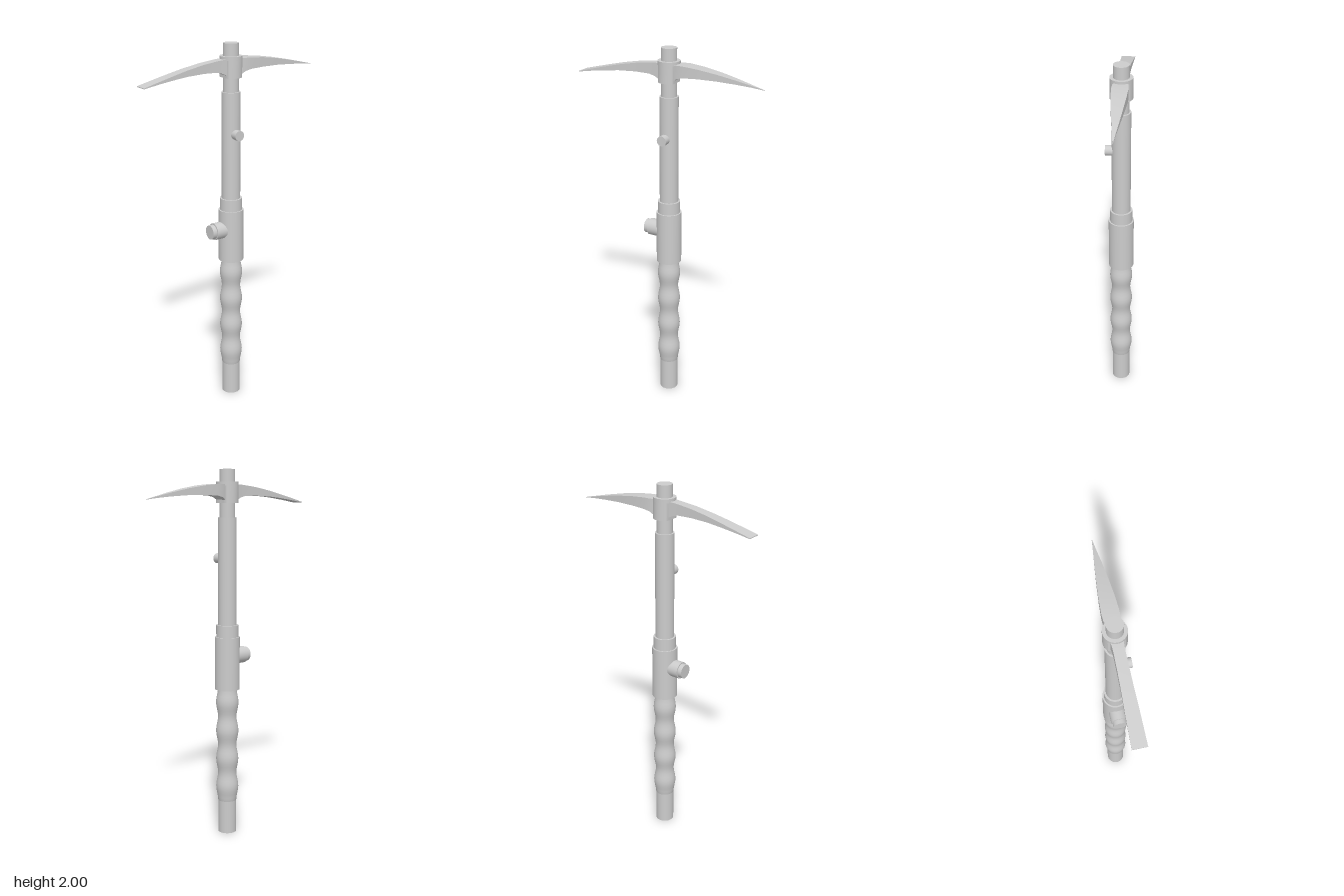
import * as THREE from 'three';
import { toCreasedNormals } from 'three/addons/utils/BufferGeometryUtils.js';

const SEG = 32;
const material = new THREE.MeshStandardMaterial({ color: 0xcccccc });

function add(parent, name, geometry) {
  const mesh = new THREE.Mesh(geometry, material);
  mesh.name = name;
  parent.add(mesh);
  return mesh;
}

// Upright cylinder between two heights
function post(parent, name, r, y0, y1) {
  const mesh = add(parent, name, new THREE.CylinderGeometry(r, r, y1 - y0, SEG));
  mesh.position.y = (y0 + y1) / 2;
  return mesh;
}

// Lofts rectangular sections [x, bottom, top, halfWidth] listed from -x to +x
function blade(sections) {
  const pos = [], idx = [];
  for (const [x, b, t, w] of sections) pos.push(x, b, -w, x, b, w, x, t, w, x, t, -w);
  const quad = (a, b, c, d) => idx.push(a, b, c, a, c, d);
  for (let i = 0; i < sections.length - 1; i++) {
    for (let k = 0; k < 4; k++) {
      const a = i * 4 + k, b = i * 4 + (k + 1) % 4;
      quad(a, a + 4, b + 4, b);
    }
  }
  const n = (sections.length - 1) * 4;
  quad(0, 1, 2, 3);
  quad(n + 3, n + 2, n + 1, n);
  const g = new THREE.BufferGeometry();
  g.setAttribute('position', new THREE.Float32BufferAttribute(pos, 3));
  g.setIndex(idx);
  return toCreasedNormals(g, 0.5);
}

export function createModel() {
  const model = new THREE.Group();
  model.name = 'pickaxe';
  const tool = new THREE.Group();
  tool.name = 'tool';
  tool.position.z = -0.008;
  model.add(tool);

  // Shaft, from the butt to the tip
  post(tool, 'handleEnd', 0.05, 0, 0.2);
  post(tool, 'sleeve', 0.068, 0.82, 1.11);
  post(tool, 'sleeveCollar', 0.06, 1.11, 1.175);
  post(tool, 'upperShaft', 0.05, 1.175, 1.75);
  post(tool, 'shaftTip', 0.041, 1.75, 2);

  // Wavy hand grip with four swells
  const profile = [new THREE.Vector2(0.048, 0.185)];
  for (let i = 0; i <= 32; i++) {
    const y = 0.185 + (i / 32) * 0.64;
    profile.push(new THREE.Vector2(0.0565 - 0.0055 * Math.cos((i / 8) * Math.PI * 2), y));
  }
  add(tool, 'grip', new THREE.LatheGeometry(profile, SEG));

  // Head socket: round, with flats on the blade sides below a top flange
  const socket = new THREE.CylinderGeometry(0.059, 0.059, 0.11, SEG);
  const p = socket.attributes.position;
  for (let i = 0; i < p.count; i++) p.setX(i, THREE.MathUtils.clamp(p.getX(i), -0.045, 0.045));
  add(tool, 'headSocket', toCreasedNormals(socket, 0.5)).position.y = 1.88;
  post(tool, 'socketFlange', 0.059, 1.915, 1.935);

  // Flat chisel blade on the right
  add(tool, 'chiselBlade', blade([
    [-0.525, 1.823, 1.827, 0.037],
    [-0.44, 1.837, 1.849, 0.035],
    [-0.36, 1.848, 1.869, 0.033],
    [-0.28, 1.857, 1.888, 0.03],
    [-0.18, 1.862, 1.907, 0.028],
    [-0.1, 1.86, 1.917, 0.027],
    [-0.07, 1.852, 1.92, 0.028],
    [-0.04, 1.838, 1.922, 0.03],
  ]));

  // Pointed spike on the left
  add(tool, 'spike', blade([
    [0.04, 1.838, 1.922, 0.034],
    [0.065, 1.855, 1.922, 0.04],
    [0.1, 1.863, 1.922, 0.042],
    [0.18, 1.867, 1.915, 0.038],
    [0.28, 1.866, 1.9, 0.029],
    [0.38, 1.86, 1.88, 0.018],
    [0.46, 1.853, 1.862, 0.008],
    [0.525, 1.845, 1.847, 0.001],
  ]));

  // Stepped side knob on the sleeve
  const knob = new THREE.Group();
  knob.name = 'sideKnob';
  knob.position.y = 1;
  knob.rotation.z = Math.PI / 2;
  tool.add(knob);
  post(knob, 'knobBase', 0.046, 0.04, 0.113);
  post(knob, 'knobCap', 0.039, 0.113, 0.137);

  // Small button on the front of the upper shaft
  const button = post(tool, 'frontButton', 0.027, 0, 0.083);
  button.position.set(0, 1.53, 0.0415);
  button.rotation.x = Math.PI / 2;

  return model;
}
